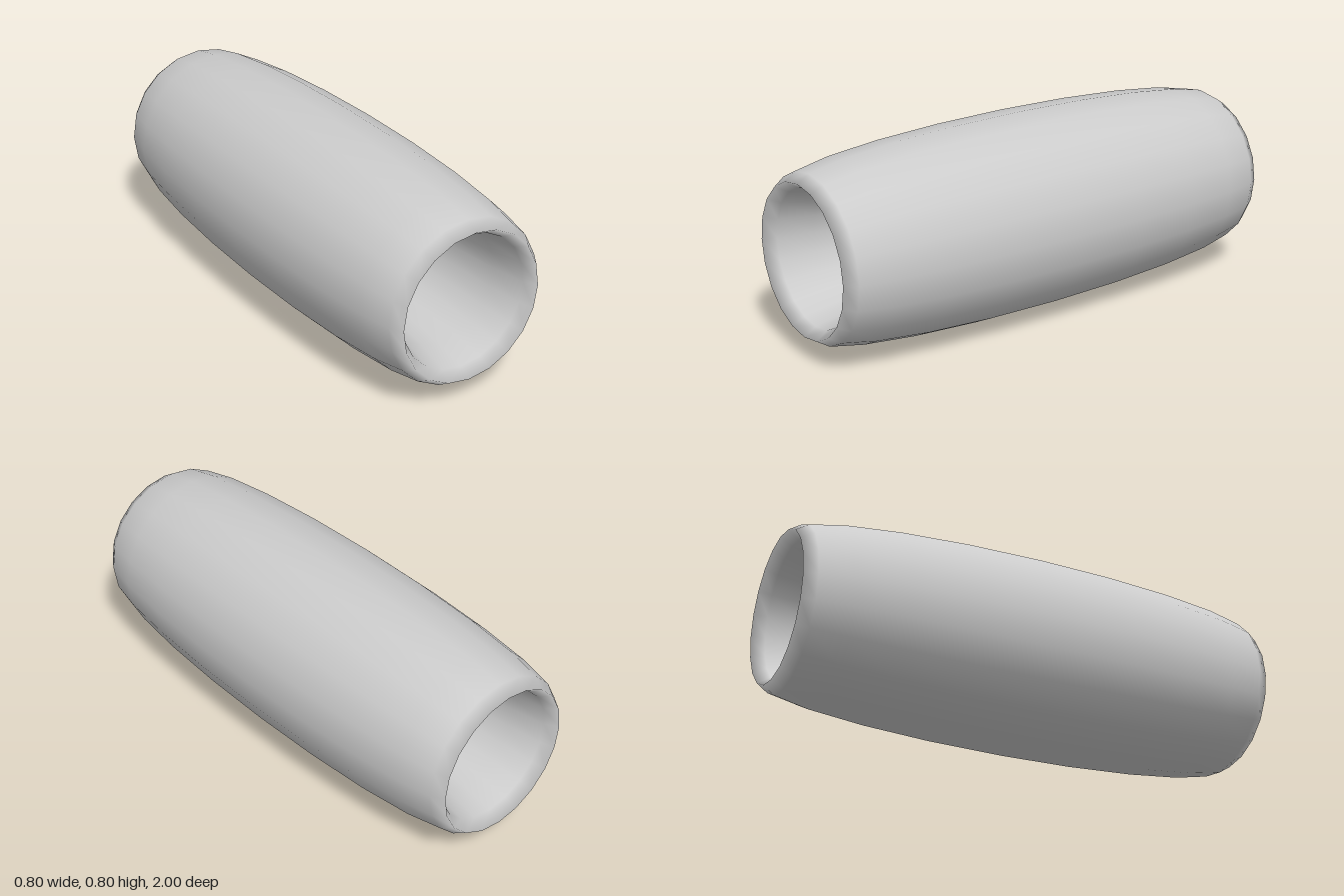
import * as THREE from 'three';

export function createModel() {
  const group = new THREE.Group();
  group.name = 'stretchedRing';

  // Ring stretched along its axis into a barrel-shaped sleeve with rounded ends
  const ringRadius = 0.3, wall = 0.1, sides = 20, halfLength = 1;
  const geometry = new THREE.TorusGeometry(ringRadius, wall, sides, sides);
  geometry.scale(1, 1, halfLength / wall);

  const sleeve = new THREE.Mesh(
    geometry,
    new THREE.MeshStandardMaterial({ color: 0xcccccc })
  );
  sleeve.name = 'sleeve';
  sleeve.position.y = ringRadius + wall;
  group.add(sleeve);

  return group;
}
